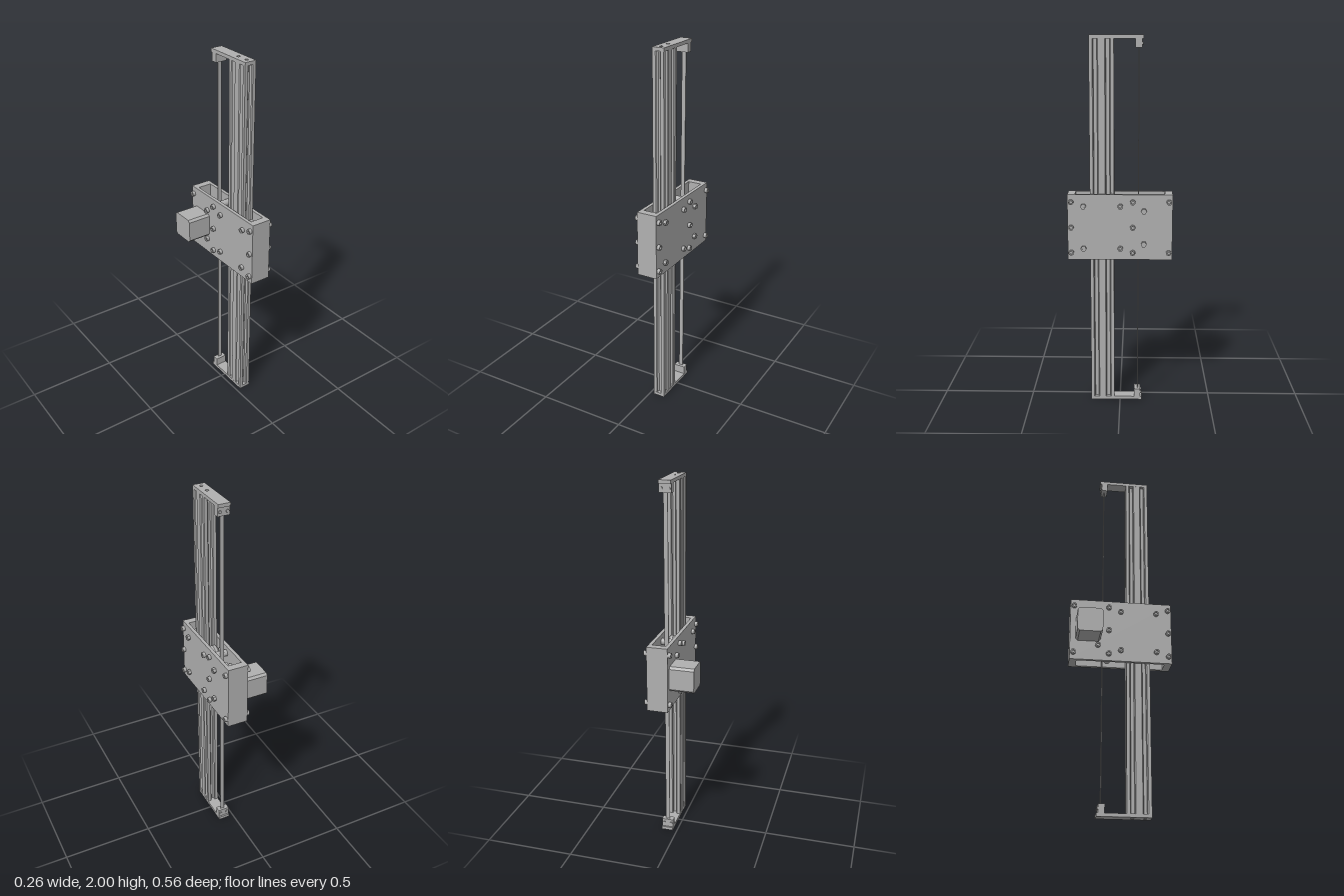
import * as THREE from 'three';
import { toCreasedNormals } from 'three/addons/utils/BufferGeometryUtils.js';

export function createModel() {
  const model = new THREE.Group();
  model.name = 'beltActuator';
  const metal = new THREE.MeshStandardMaterial({ color: 0xb0b0b0 });
  metal.name = 'greyMetal';

  const CX = 0.0565, MID = 1.003; // centre plane of the rail, mid height of the carriage
  const add = (name, geo, x = 0, y = 0, z = 0) => {
    const m = new THREE.Mesh(geo, metal);
    m.name = name;
    m.position.set(x, y, z);
    model.add(m);
    return m;
  };
  // box given by its limits
  const box = (name, x0, x1, y0, y1, z0, z1) =>
    add(name, new THREE.BoxGeometry(x1 - x0, y1 - y0, z1 - z0), (x0 + x1) / 2, (y0 + y1) / 2, (z0 + z1) / 2);
  // cylinder along x
  const rod = (name, r, x0, x1, y, z, sides = 24) =>
    add(name, new THREE.CylinderGeometry(r, r, x1 - x0, sides).rotateZ(-Math.PI / 2), (x0 + x1) / 2, y, z);
  // turned part along x; profile holds [radius, offset]
  const turned = (profile, sides = 28) => toCreasedNormals(
    new THREE.LatheGeometry(profile.map(p => new THREE.Vector2(...p)), sides).rotateZ(-Math.PI / 2), 0.5);
  // [z, y] outline extruded along x
  const extrudeX = (pts, width) => new THREE.ExtrudeGeometry(
    new THREE.Shape(pts.map(([z, y]) => new THREE.Vector2(-z, y))),
    { depth: width, bevelEnabled: false }).rotateY(Math.PI / 2);
  // [x, z] shape extruded along y
  const extrudeY = (shape, height) => new THREE.ExtrudeGeometry(
    shape, { depth: height, bevelEnabled: false, curveSegments: 16 }).rotateX(-Math.PI / 2);
  const hole = (shape, x, v, r) =>
    shape.holes.push(new THREE.Path().absarc(x, v, r, 0, Math.PI * 2, true));

  // Slotted rail with two bores
  const RZ = 0.096, HX = 0.0322, HZ = 0.0642, PITCH = 0.0322;
  const slot = [[-0.0147, 0], [-0.0095, 0.0055], [-0.0175, 0.0055], [-0.0175, 0.009], [-0.0095, 0.0195],
    [0.0095, 0.0195], [0.0175, 0.009], [0.0175, 0.0055], [0.0095, 0.0055], [0.0147, 0]];
  const outline = [];
  for (let side = 0; side < 4; side++) {
    const a = side * Math.PI / 2, c = Math.round(Math.cos(a)), s = Math.round(Math.sin(a));
    const short = side % 2 === 0, half = short ? HX : HZ, out = short ? HZ : HX;
    const put = (t, d) => outline.push(new THREE.Vector2(t * c + (out - d) * s, t * s - (out - d) * c));
    put(-half, 0);
    for (const o of short ? [0] : [-PITCH, PITCH]) slot.forEach(([t, d]) => put(o + t, d));
  }
  const profile = new THREE.Shape(outline);
  for (const v of [-PITCH, PITCH]) hole(profile, 0, v, 0.009);
  add('rail', extrudeY(profile, 1.964), CX, 0.018, RZ);

  // End caps with belt anchors
  for (const top of [false, true]) {
    const cap = new THREE.Shape([[-0.0325, -0.1605], [0.0325, -0.1605], [0.0325, 0.122], [-0.0325, 0.122]]
      .map(p => new THREE.Vector2(...p)));
    for (const v of [-PITCH, PITCH]) hole(cap, 0, -RZ + v, 0.009);
    add('endCap', extrudeY(cap, 0.018), CX, top ? 1.982 : 0, 0);
    const y = v => top ? 2 - v : v;
    box('beltAnchor', CX - 0.0325, CX + 0.0325, Math.min(y(0.018), y(0.064)), Math.max(y(0.018), y(0.064)), -0.113, -0.079);
    for (const sx of [-1, 1])
      add('anchorScrew', new THREE.CylinderGeometry(0.008, 0.008, 0.006, 16).rotateX(Math.PI / 2),
        CX + sx * 0.02, y(0.042), -0.115);
  }

  // Carriage plates and end blocks
  const Y0 = 0.826, Y1 = 1.181;
  box('rightPlate', 0, 0.0185, Y0, Y1, -0.279, 0.279);
  box('leftPlate', 0.0945, 0.113, Y0, Y1, -0.279, 0.279);
  box('frontBlock', 0.0185, 0.0945, Y0, Y1, 0.239, 0.279);
  box('backBlock', 0.0185, 0.0945, Y0, Y1, -0.279, -0.239);

  // Socket bolts on both plates; axles end in hexagon nuts
  const headGeo = turned([[0, 0], [0.0142, 0], [0.0142, 0.0165], [0.0075, 0.0165], [0.0075, 0.008], [0, 0.008]], 24);
  const nutGeo = turned([[0, 0], [0.0155, 0], [0.0155, 0.0165], [0.0075, 0.0165], [0.0075, 0.013], [0, 0.013]], 6);
  const bolts = (z, offsets, nut) => offsets.forEach(dy => {
    add('boltHead', headGeo, 0, MID + dy, z).rotation.y = Math.PI;
    add(nut ? 'hexNut' : 'boltEnd', nut ? nutGeo : headGeo, 0.113, MID + dy, z);
  });
  bolts(0.26, [-0.138, 0, 0.138], false);
  bolts(-0.26, [-0.138, 0.138], false);
  bolts(-0.068, [-0.138, 0, 0.138], false);
  bolts(0.194, [-0.115, 0.115], true);
  bolts(-0.002, [-0.115, 0.115], false);
  bolts(-0.127, [-0.09, 0.09], true);

  // Spacers between the plates
  for (const dy of [-0.138, 0, 0.138]) rod('spacer', 0.018, 0.0185, 0.0945, MID + dy, -0.068);

  // Guide wheels running in the rail slots
  const wheelGeo = turned([[0, -0.018], [0.029, -0.018], [0.038, -0.008], [0.038, 0.008], [0.029, 0.018], [0, 0.018]]);
  for (const z of [0.194, -0.002]) for (const dy of [-0.115, 0.115]) {
    add('guideWheel', wheelGeo, CX, MID + dy, z);
    rod('wheelAxle', 0.0155, 0.0185, 0.0945, MID + dy, z);
  }

  // Belt idlers
  const IZ = -0.127, IR = 0.027;
  for (const dy of [-0.09, 0.09]) {
    rod('idler', IR, 0.043, 0.073, MID + dy, IZ);
    rod('idlerAxle', 0.013, 0.0185, 0.0945, MID + dy, IZ);
  }

  // Motor with mounting screws, shaft and pulley
  const MZ = -0.181, H = 0.068, C = 0.056;
  add('motor', extrudeX([[-C, -H], [C, -H], [H, -C], [H, C], [C, H], [-C, H], [-H, C], [-H, -C]], 0.132), -0.132, MID, MZ);
  for (const sz of [-1, 1]) for (const sy of [-1, 1])
    rod('motorScrew', 0.008, 0.0185, 0.028, MID + sy * 0.05, MZ + sz * 0.05, 16);
  rod('motorShaft', 0.008, 0.0, 0.078, MID, MZ, 16);
  rod('pulleyHub', 0.027, 0.021, 0.047, MID, MZ);
  rod('pulley', 0.024, 0.047, 0.07, MID, MZ);
  rod('pulleyFlange', 0.028, 0.07, 0.074, MID, MZ);

  // Belt: down the front of the upper idler, round the pulley, back over the lower idler
  const T = 0.005;
  const rad = d => d * Math.PI / 180;
  const upper = r => { // r shifts the path across the belt thickness
    const pts = [[IZ + IR + r, 1.945 - MID]];
    for (let i = 0; i <= 8; i++) {
      const a = rad(-63 * i / 8);
      pts.push([IZ + (IR + r) * Math.cos(a), 0.09 + (IR + r) * Math.sin(a)]);
    }
    for (let i = 0; i <= 8; i++) {
      const a = rad(117 + 63 * i / 8), pr = 0.024 + T - r;
      pts.push([MZ + pr * Math.cos(a), pr * Math.sin(a)]);
    }
    return pts;
  };
  const path = r => {
    const u = upper(r);
    return [...u, ...u.slice(0, -1).reverse().map(([z, y]) => [z, -y])];
  };
  add('belt', extrudeX([...path(0), ...path(T).reverse()], 0.023), 0.047, MID, 0);

  return model;
}
